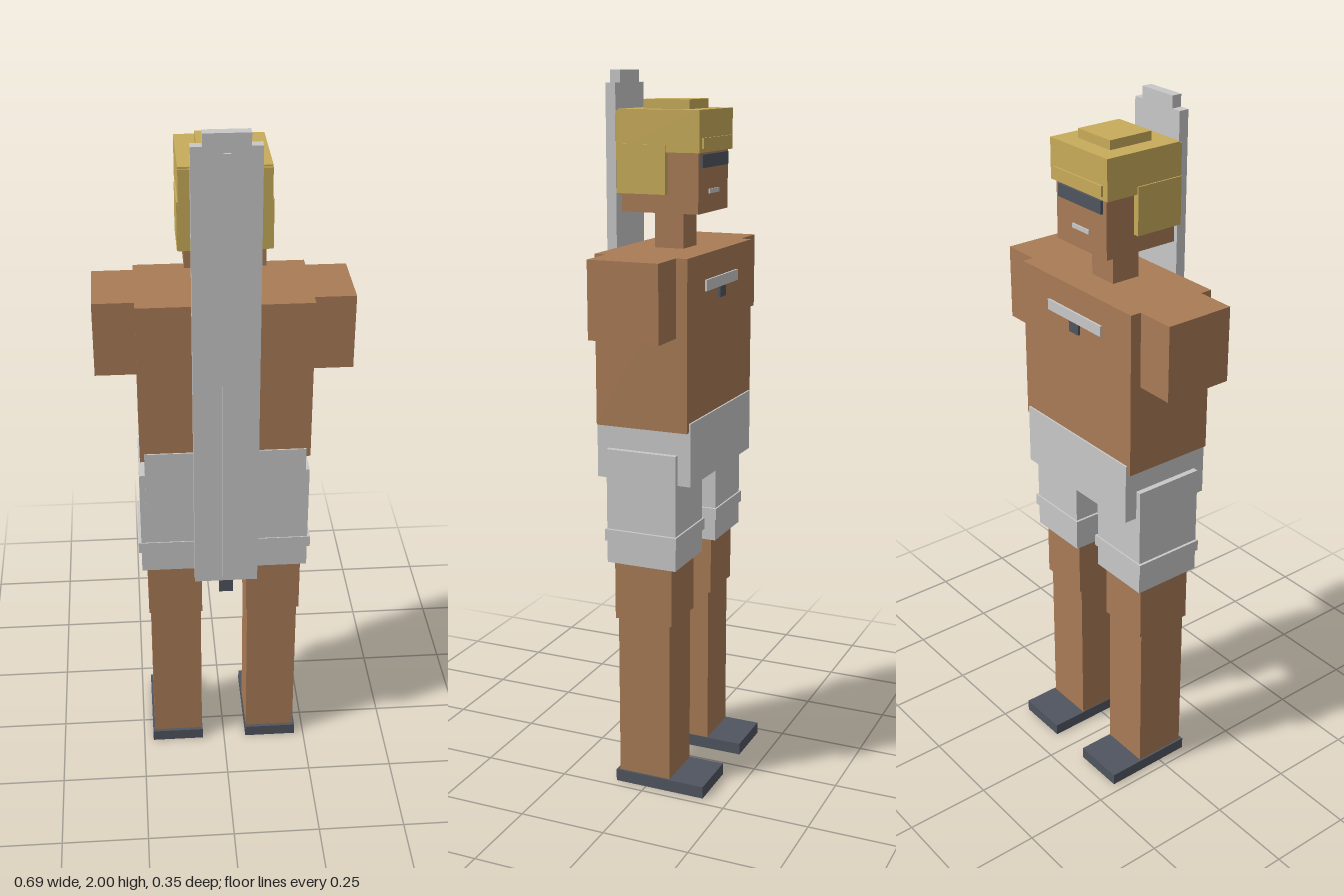
import * as THREE from 'three';

const mat = (name, color) => {
  const m = new THREE.MeshStandardMaterial({ color });
  m.name = name;
  return m;
};

export function createModel() {
  const skin = mat('skin', 0xa97b56);
  const hair = mat('hair', 0xc8ac5a);
  const grey = mat('light grey', 0xc8c8c8);
  const dark = mat('dark slate', 0x50555f);
  const model = new THREE.Group();
  model.name = 'surfer';

  // Box given by its extents on each axis
  const box = (parent, name, material, [x0, x1], [y0, y1], [z0, z1]) => {
    const mesh = new THREE.Mesh(new THREE.BoxGeometry(x1 - x0, y1 - y0, z1 - z0), material);
    mesh.position.set((x0 + x1) / 2, (y0 + y1) / 2, (z0 + z1) / 2);
    mesh.name = name;
    parent.add(mesh);
  };
  const group = (name) => {
    const g = new THREE.Group();
    g.name = name;
    model.add(g);
    return g;
  };

  // Torso and trunks
  const body = group('body');
  box(body, 'torso', skin, [-0.234, 0.234], [1.065, 1.53], [-0.132, 0.135]);
  box(body, 'neck', skin, [-0.045, 0.045], [1.52, 1.64], [-0.04, 0.045]);
  box(body, 'trunksWaist', grey, [-0.222, 0.222], [0.915, 1.09], [-0.137, 0.139]);
  box(body, 'necklace', grey, [-0.115, 0.115], [1.43, 1.46], [-0.138, -0.13]);
  box(body, 'pendant', dark, [-0.02, 0.02], [1.4, 1.43], [-0.139, -0.13]);

  // Limbs, mirrored left and right
  for (const [side, s] of [['left', 1], ['right', -1]]) {
    const limb = group(side + 'Limbs');
    const span = (a, b) => (s > 0 ? [a, b] : [-b, -a]);
    box(limb, side + 'Arm', skin, span(0.225, 0.345), [1.32, 1.53], [-0.1, 0.101]);
    box(limb, side + 'TrunksLeg', grey, span(0.05, 0.238), [0.675, 1.0], [-0.1, 0.105]);
    box(limb, side + 'TrunksBand', grey, span(0.043, 0.246), [0.74, 0.773], [-0.105, 0.108]);
    box(limb, side + 'Thigh', skin, span(0.065, 0.222), [0.505, 0.7], [-0.081, 0.09]);
    box(limb, side + 'Shin', skin, span(0.069, 0.216), [0.03, 0.51], [-0.072, 0.083]);
    box(limb, side + 'Shoe', dark, span(0.067, 0.222), [0, 0.035], [-0.177, 0.093]);
  }

  // Head, face and hair
  const head = group('head');
  box(head, 'face', skin, [-0.105, 0.105], [1.63, 1.85], [-0.108, 0.115]);
  box(head, 'sunglasses', dark, [-0.09, 0.09], [1.75, 1.785], [-0.115, -0.1]);
  box(head, 'mouth', grey, [-0.035, 0.035], [1.68, 1.692], [-0.112, -0.1]);
  box(head, 'hairCap', hair, [-0.118, 0.118], [1.79, 1.9], [-0.116, 0.119]);
  box(head, 'hairCrown', hair, [-0.066, 0.066], [1.89, 1.925], [-0.066, 0.067]);
  box(head, 'hairFringe', hair, [-0.1, 0.1], [1.8, 1.828], [-0.121, -0.11]);
  box(head, 'hairBack', hair, [-0.118, 0.118], [1.68, 1.895], [0.1, 0.124]);
  for (const [side, s] of [['left', 1], ['right', -1]]) {
    const x = [0.1 * s, 0.122 * s].sort((a, b) => a - b);
    box(head, side + 'HairSide', hair, x, [1.68, 1.81], [-0.02, 0.122]);
  }

  // Surfboard carried on the back
  const board = group('surfboard');
  box(board, 'boardDeck', grey, [-0.089, 0.089], [0.675, 1.967], [0.139, 0.168]);
  box(board, 'boardNose', grey, [-0.06, 0.06], [1.96, 2.0], [0.139, 0.168]);
  box(board, 'boardStringer', grey, [-0.01, 0.01], [0.69, 1.95], [0.16, 0.174]);
  box(board, 'boardFin', dark, [-0.02, 0.02], [0.63, 0.68], [0.15, 0.161]);

  return model;
}
